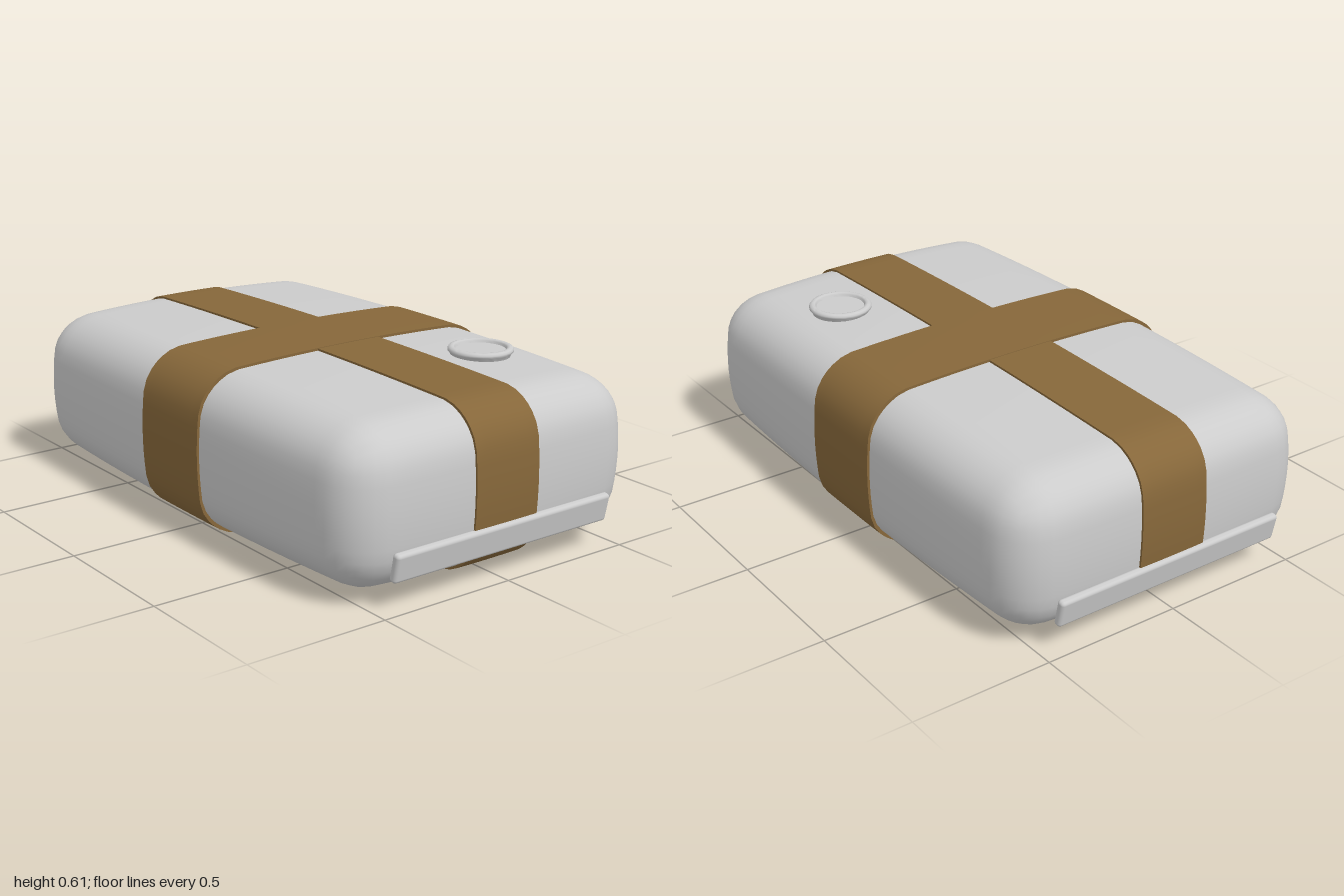
import * as THREE from 'three';
import { mergeVertices, toCreasedNormals } from 'three/addons/utils/BufferGeometryUtils.js';
import { RoundedBoxGeometry } from 'three/addons/geometries/RoundedBoxGeometry.js';

const HALF = new THREE.Vector3(0.98, 0.291, 0.616);
const RADIUS = 0.14;
const CENTER_Y = 0.3;

// Soft case shape: a box with rounded corners and gently bulging faces.
// grow = distance outside the case; width limits make a slice (a strap).
function softBox(grow, widthX = Infinity, widthZ = Infinity) {
  const h = HALF.clone().addScalar(grow);
  const sx = Math.min(2 * h.x, widthX), sz = Math.min(2 * h.z, widthZ);
  const steps = (s) => Math.max(4, Math.round(s / 0.045));
  let g = new THREE.BoxGeometry(sx, 2 * h.y, sz, steps(sx), steps(2 * h.y), steps(sz));
  g.deleteAttribute('normal');
  g.deleteAttribute('uv');
  g = mergeVertices(g);

  const pos = g.attributes.position;
  const core = h.clone().subScalar(RADIUS);
  const p = new THREE.Vector3(), c = new THREE.Vector3(), d = new THREE.Vector3();
  for (let i = 0; i < pos.count; i++) {
    p.fromBufferAttribute(pos, i);
    // Round edges and corners
    c.copy(p).clamp(core.clone().negate(), core);
    d.subVectors(p, c);
    const len = d.length();
    if (len > 1e-6) d.multiplyScalar(Math.max(Math.abs(d.x), Math.abs(d.y), Math.abs(d.z)) / len);
    p.addVectors(c, d);
    // Bulge: each face drops towards its borders
    const u = (p.x / h.x) ** 2, v = (p.y / h.y) ** 2, w = (p.z / h.z) ** 2;
    pos.setXYZ(i,
      sx < 1 ? p.x : p.x * (1 - 0.025 * w - 0.03 * v),
      p.y * (1 - 0.06 * u - 0.06 * w),
      sz < 1 ? p.z : p.z * (1 - 0.035 * u - 0.05 * v));
  }
  return toCreasedNormals(g, 0.7);
}

export function createModel() {
  const model = new THREE.Group();
  model.name = 'strappedCase';
  const grey = new THREE.MeshStandardMaterial({ color: 0xcccccc });
  const brown = new THREE.MeshStandardMaterial({ color: 0x86673a });

  const add = (name, geometry, material, x, y, z) => {
    const mesh = new THREE.Mesh(geometry, material);
    mesh.name = name;
    mesh.position.set(x, y, z);
    model.add(mesh);
    return mesh;
  };

  add('caseBody', softBox(0), grey, 0, CENTER_Y, 0);

  // Two straps crossing on the top and the underside
  add('crossStrap', softBox(0.009, 0.34), brown, 0, CENTER_Y, 0);
  add('lengthStrap', softBox(0.007, Infinity, 0.26), brown, 0, CENTER_Y, 0);

  // Grip bars low on both ends, leaning with the case wall
  const bar = new RoundedBoxGeometry(0.03, 0.1, 0.9, 3, 0.012);
  for (const [side, name] of [[1, 'leftGrip'], [-1, 'rightGrip']]) {
    add(name, bar, grey, side * 0.974, 0.143, 0).rotation.z = -side * 0.2;
  }

  // Round badge with a raised rim
  const rim = [
    [0, 0.022], [0.086, 0.022], [0.088, 0.029], [0.092, 0.034], [0.1, 0.035],
    [0.108, 0.032], [0.112, 0.026], [0.112, 0.02], [0.106, 0.014], [0.1, 0], [0, 0],
  ].map(([r, y]) => new THREE.Vector2(r, y)).reverse();
  add('badge', toCreasedNormals(new THREE.LatheGeometry(rim, 48), 0.8), grey, 0.505, 0.575, -0.305);

  return model;
}
